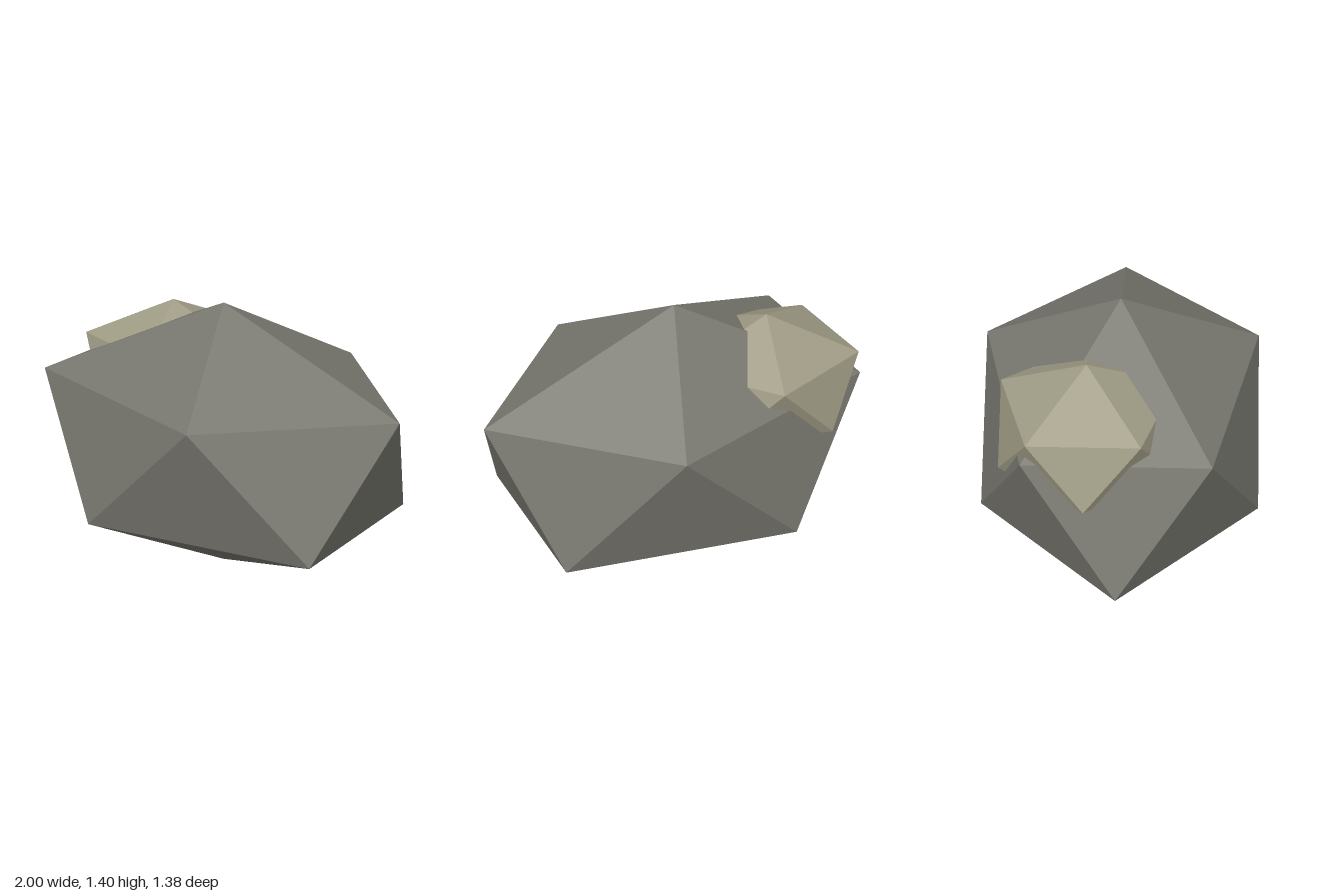
import * as THREE from 'three';

// Low-poly faceted stone standing on one vertex, stretched to the given radii
function stone(name, material, rx, ry, rz, x, y, z) {
  const g = new THREE.IcosahedronGeometry(1, 0);
  g.rotateZ(-Math.atan(2 / (1 + Math.sqrt(5)))); // vertex straight up, upper ring points to +x
  g.scale(rx, ry, rz);
  g.translate(x, y, z);
  g.computeVertexNormals();
  const mesh = new THREE.Mesh(g, material);
  mesh.name = name;
  return mesh;
}

export function createModel() {
  const group = new THREE.Group();
  group.name = 'rock';

  const darkStone = new THREE.MeshStandardMaterial({ color: 0x77766e, flatShading: true });
  darkStone.name = 'dark stone';
  const paleStone = new THREE.MeshStandardMaterial({ color: 0x9e9a84, flatShading: true });
  paleStone.name = 'pale stone';

  // main boulder
  group.add(stone('boulder', darkStone, 1.118, 0.7, 0.813, 0, 0.702, 0));
  // pale patch breaking through the upper back right shoulder
  group.add(stone('palePatch', paleStone, 0.525, 0.335, 0.485, -0.43, 0.97, -0.145));

  return group;
}
